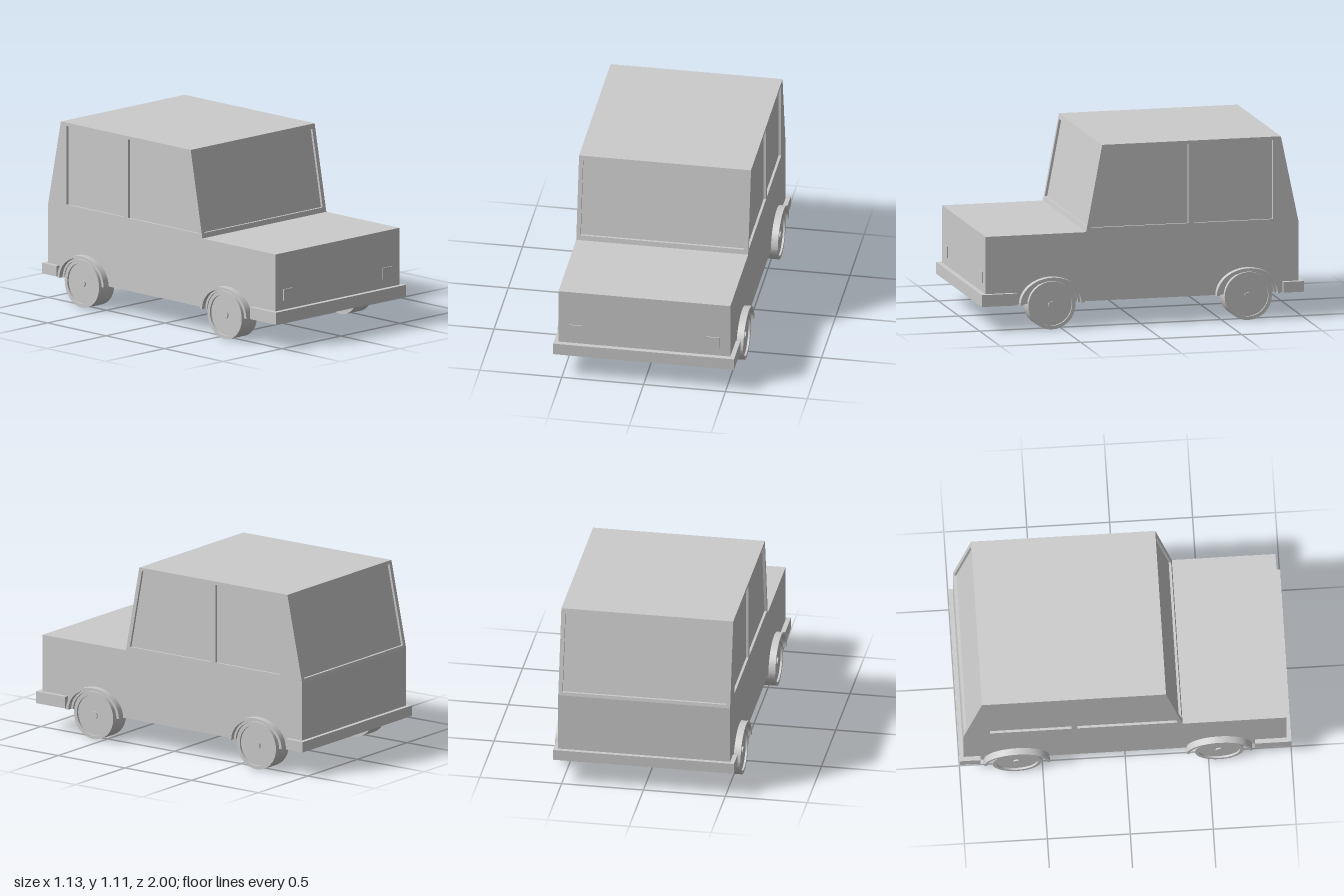
import * as THREE from 'three';

const material = new THREE.MeshStandardMaterial({ color: 0xcccccc });
const HALF = 0.525, BELT = 0.58, ROOF = 1.11, INSET = 0.015;

function add(parent, name, geometry, x = 0, y = 0, z = 0) {
  const mesh = new THREE.Mesh(geometry, material);
  mesh.name = name;
  mesh.position.set(x, y, z);
  parent.add(mesh);
  return mesh;
}

const polygon = (points, Type = THREE.Shape) => new Type(points.map(([a, b]) => new THREE.Vector2(a, b)));

// Extrude a (z, y) side profile across x from x0 to x1
function extrudeAcross(shape, x0, x1) {
  const geometry = new THREE.ExtrudeGeometry(shape, { depth: x1 - x0, bevelEnabled: false, curveSegments: 24 });
  return geometry.rotateY(-Math.PI / 2).translate(x1, 0, 0);
}

// Window frame in the x-y plane, sheared to follow a sloping end of the cabin
function slopedFrame(zBelt, zRoof, bottom, top, front) {
  const w = HALF - INSET, g = 0.5;
  const shape = polygon([[-w, BELT], [w, BELT], [w, ROOF], [-w, ROOF]]);
  shape.holes.push(polygon([[-g, bottom], [-g, top], [g, top], [g, bottom]], THREE.Path));
  const geometry = new THREE.ExtrudeGeometry(shape, { depth: INSET, bevelEnabled: false });
  if (front) geometry.translate(0, 0, -INSET);
  const p = geometry.attributes.position;
  for (let i = 0; i < p.count; i++) {
    const t = (p.getY(i) - BELT) / (ROOF - BELT);
    p.setZ(i, p.getZ(i) + zBelt + (zRoof - zBelt) * t);
  }
  geometry.computeVertexNormals();
  return geometry;
}

// Wheel with a recessed disc and small hub cap, outer face towards +x
function makeWheel() {
  const profile = [[0, -0.065], [0.147, -0.065], [0.147, 0.065], [0.125, 0.065], [0.125, 0.053],
    [0.022, 0.053], [0.022, 0.062], [0, 0.062]];
  const wheel = new THREE.Group();
  wheel.name = 'wheel';
  // Separate straight bands keep every rim edge sharp
  for (let i = 0; i < profile.length - 1; i++) {
    const band = profile.slice(i, i + 2).map(([r, h]) => new THREE.Vector2(r, h));
    add(wheel, i > 3 ? 'hub' : 'tyre', new THREE.LatheGeometry(band, 32).rotateZ(-Math.PI / 2));
  }
  return wheel;
}

// Elliptical arch band in the (z, y) plane
function archBand(outer, inner) {
  const shape = new THREE.Shape();
  shape.absellipse(0, 0, outer[0], outer[1], 0, Math.PI, false);
  shape.lineTo(-inner[0], 0);
  shape.absellipse(0, 0, inner[0], inner[1], Math.PI, 0, true);
  shape.closePath();
  return shape;
}

export function createModel() {
  const car = new THREE.Group();
  car.name = 'car';

  // Lower body and bonnet
  add(car, 'lowerBody', new THREE.BoxGeometry(HALF * 2, BELT - 0.157, 1.945), 0, (BELT + 0.157) / 2, -0.0025);

  // Cabin core, whose faces show as the glass inside the frames
  const core = polygon([[0.345 - INSET, BELT], [0.245 - INSET, ROOF], [-0.865 + INSET, ROOF], [-0.975 + INSET, BELT]]);
  add(car, 'cabinGlass', extrudeAcross(core, -HALF + INSET, HALF - INSET));

  // Side frames with two windows each
  const side = polygon([[0.345, BELT], [0.245, ROOF], [-0.865, ROOF], [-0.975, BELT]]);
  side.holes.push(
    polygon([[0.315, 0.605], [0.225, 1.09], [-0.29, 1.09], [-0.29, 0.605]], THREE.Path),
    polygon([[-0.325, 0.605], [-0.325, 1.09], [-0.815, 1.09], [-0.815, 0.605]], THREE.Path));
  add(car, 'leftWindowFrame', extrudeAcross(side, HALF - INSET, HALF));
  add(car, 'rightWindowFrame', extrudeAcross(side, -HALF, -HALF + INSET));

  // Windscreen and rear window frames
  add(car, 'windscreenFrame', slopedFrame(0.345, 0.245, 0.61, 1.08, true));
  add(car, 'rearWindowFrame', slopedFrame(-0.975, -0.865, 0.6, 1.09, false));

  // Bumpers wrapping round the ends
  add(car, 'frontBumper', new THREE.BoxGeometry(1.105, 0.073, 0.22), 0, 0.193, 0.89);
  add(car, 'rearBumper', new THREE.BoxGeometry(1.105, 0.065, 0.125), 0, 0.189, -0.9375);

  for (const s of [1, -1]) {
    add(car, 'headlight', new THREE.BoxGeometry(0.08, 0.07, 0.02), s * 0.42, 0.32, 0.966);
    for (const z of [0.565, -0.655]) {
      const wheel = makeWheel();
      wheel.position.set(s * 0.49, 0.147, z);
      if (s < 0) wheel.rotation.y = Math.PI;
      car.add(wheel);

      // Stepped wheel arch: protruding lip and a lower inner band
      const arch = new THREE.Group();
      arch.name = 'wheelArch';
      arch.position.set(0, 0.157, z);
      if (s < 0) arch.rotation.y = Math.PI;
      add(arch, 'archLip', extrudeAcross(archBand([0.198, 0.162], [0.18, 0.147]), 0.5, 0.567));
      add(arch, 'archInner', extrudeAcross(archBand([0.18, 0.147], [0.165, 0.134]), 0.5, 0.54));
      car.add(arch);
    }
  }
  return car;
}
